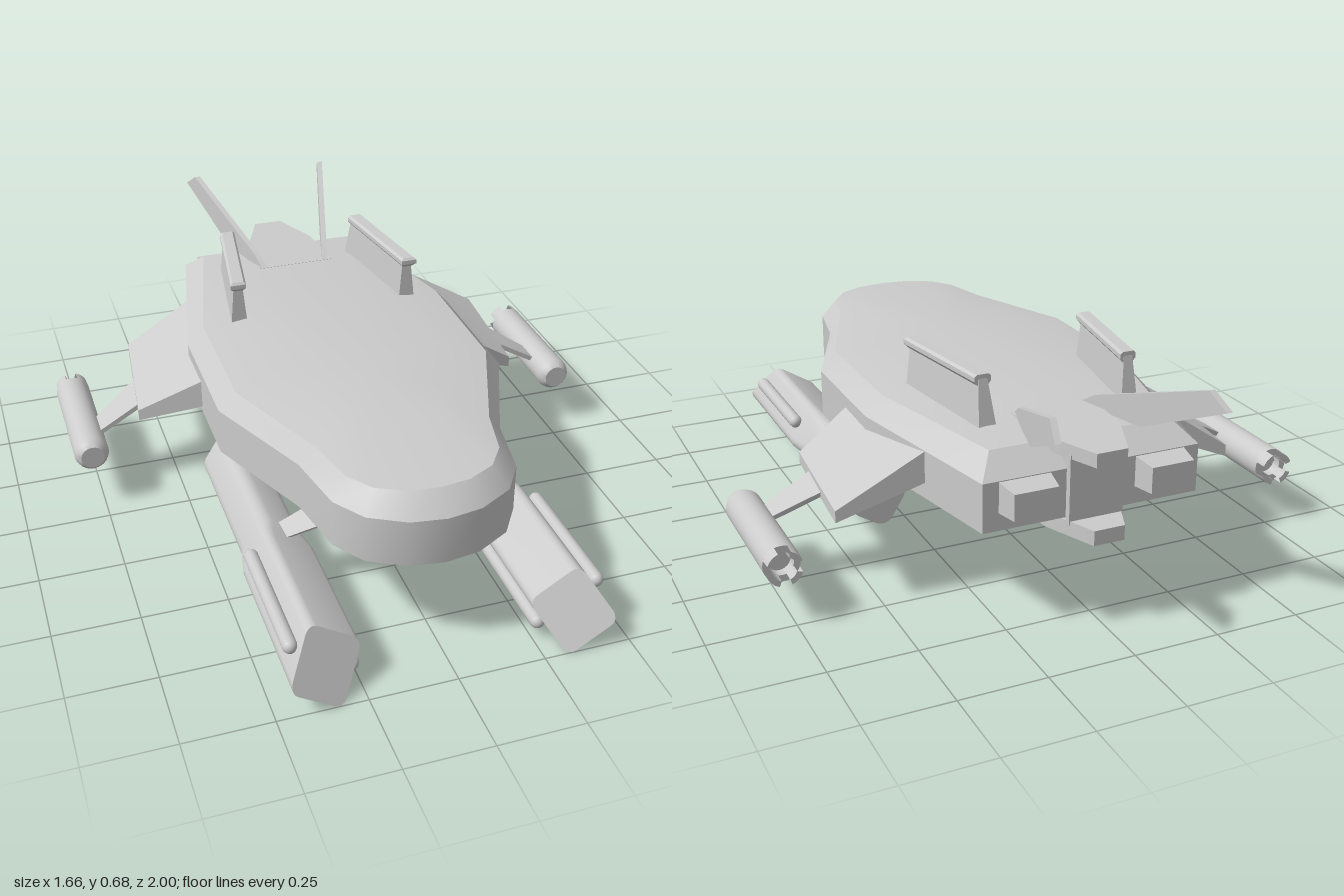
import * as THREE from 'three';
import { toCreasedNormals } from 'three/addons/utils/BufferGeometryUtils.js';

const material = new THREE.MeshStandardMaterial({ color: 0xcccccc });
const doubleSided = new THREE.MeshStandardMaterial({ color: 0xcccccc, side: THREE.DoubleSide });

function add(parent, name, geometry, mat = material) {
  const mesh = new THREE.Mesh(geometry, mat);
  mesh.name = name;
  parent.add(mesh);
  return mesh;
}

// Closed solid skinned over rings of [x, y, z] points; faces are turned outward by signed volume.
function loft(rings, crease = 0.5) {
  const n = rings[0].length;
  const triangles = [];
  const cap = (ring, flip) => {
    const c = [0, 1, 2].map(k => ring.reduce((sum, p) => sum + p[k], 0) / n);
    ring.forEach((p, i) => {
      const q = ring[(i + 1) % n];
      triangles.push(flip ? [c, q, p] : [c, p, q]);
    });
  };
  cap(rings[0], true);
  for (let r = 0; r < rings.length - 1; r++) {
    for (let i = 0; i < n; i++) {
      const j = (i + 1) % n;
      const [a, b, c, d] = [rings[r][i], rings[r][j], rings[r + 1][j], rings[r + 1][i]];
      triangles.push([a, b, c], [a, c, d]);
    }
  }
  cap(rings[rings.length - 1], false);
  const v = p => new THREE.Vector3(...p);
  const volume = triangles.reduce((s, [a, b, c]) => s + v(a).dot(v(b).cross(v(c))), 0);
  if (volume < 0) triangles.forEach(t => t.reverse());
  const geometry = new THREE.BufferGeometry();
  geometry.setAttribute('position', new THREE.Float32BufferAttribute(triangles.flat(2), 3));
  geometry.computeVertexNormals();
  return toCreasedNormals(geometry, crease);
}

// Full plan outline from half of it, given front to back.
const mirrorOutline = half => [...half, ...half.filter(p => p[0] > 0).reverse().map(([x, z]) => [-x, z])];

// Rectangle in plan at height y.
const rect = (x0, x1, z0, z1, y) => [[x0, y, z0], [x1, y, z0], [x1, y, z1], [x0, y, z1]];

function addHull(group) {
  const outer = mirrorOutline([[0, 0.88], [0.1, 0.865], [0.2, 0.81], [0.26, 0.72], [0.295, 0.53], [0.435, 0.2], [0.435, -0.2], [0.32, -0.75]]);
  const inner = mirrorOutline([[0, 0.82], [0.085, 0.81], [0.165, 0.77], [0.215, 0.7], [0.25, 0.55], [0.385, 0.21], [0.385, -0.2], [0.27, -0.68]]);
  const level = (outline, y, k = 1) => outline.map(([x, z]) => [x * k, y, 0.05 + (z - 0.05) * k]);
  add(group, 'hull', loft([
    level(inner, 0.245, 0.65), level(inner, 0.258), level(outer, 0.295),
    level(outer, 0.435), level(inner, 0.493), level(inner, 0.513, 0.65),
  ]));

  // Tail: overhanging upper and lower plates with a recessed core
  const plate = [[0.125, -0.5], [0.11, -0.69], [0.045, -0.845], [-0.045, -0.845], [-0.11, -0.69], [-0.125, -0.5]];
  const atHeight = y => plate.map(([x, z]) => [x, y, z]);
  add(group, 'upperTailPlate', loft([atHeight(0.468), atHeight(0.508)]));
  add(group, 'lowerTailPlate', loft([atHeight(0.247), atHeight(0.29)]));
  const core = new THREE.BoxGeometry(0.16, 0.2, 0.2);
  core.translate(0, 0.38, -0.67);
  add(group, 'tailCore', core);
}

// Tapered engine blocks at the stern
function addEngine(group, s) {
  const ring = (w, y0, y1, z) => [[-w, y0], [w, y0], [w, y1], [-w, y1]].map(([x, y]) => [s * (0.2 + x), y, z]);
  add(group, 'sternEngine', loft([ring(0.085, 0.34, 0.44, -0.68), ring(0.063, 0.35, 0.425, -0.82)]));
}

// Upright fin with a rail on top, toed in toward the stern
function addDorsalFin(group, s) {
  const slab = (zf, zb, half, y) => {
    const x = z => 0.275 + (z + 0.17) * 0.154;
    return [[x(zf) - half, y, zf], [x(zf) + half, y, zf], [x(zb) + half, y, zb], [x(zb) - half, y, zb]]
      .map(p => [s * p[0], p[1], p[2]]);
  };
  add(group, 'dorsalFin', loft([slab(-0.175, -0.555, 0.026, 0.49), slab(-0.18, -0.53, 0.013, 0.63)]));
  add(group, 'dorsalFinRail', loft([
    slab(-0.175, -0.53, 0.014, 0.61), slab(-0.163, -0.53, 0.024, 0.622),
    slab(-0.163, -0.53, 0.024, 0.635), slab(-0.17, -0.53, 0.017, 0.642),
  ]));
}

// Swept blade rising past the stern
function addTailBlade(group, s) {
  const profile = [[-0.49, 0.5], [-0.55, 0.538], [-0.94, 0.672], [-1, 0.63], [-0.72, 0.5]];
  const side = t => profile.map(([z, y]) => [s * (0.1 - (z + 0.49) * 0.272 + t), y, z]);
  add(group, 'tailBlade', loft([side(-0.009), side(0.009)]));
}

// Drooping wing, strut and outer pod
function addWing(group, s) {
  const [rear, front] = s > 0 ? [[0.62, -0.465], [0.59, -0.05]] : [[0.575, -0.515], [0.62, -0.1]];
  add(group, 'wing', loft([
    [[s * 0.36, 0.345, -0.495], [s * 0.36, 0.44, -0.495], [s * 0.41, 0.415, -0.02], [s * 0.41, 0.32, -0.02]],
    [[s * rear[0], 0.257, rear[1]], [s * rear[0], 0.292, rear[1]], [s * front[0], 0.292, front[1]], [s * front[0], 0.257, front[1]]],
  ]));
  const quad = (x, y, z0, z1) => rect(s * x - 0.006, s * x + 0.006, z0, z1, y)
    .map((p, i) => [p[0], p[1] + ((i === 1 || i === 2) === s > 0 ? 0.005 : -0.005), p[2]]);
  add(group, 'podStrut', loft([quad(0.585, 0.28, -0.31, -0.165), quad(0.745, 0.187, -0.24, -0.165)]));

  const pod = new THREE.Group();
  pod.name = 'outerPod';
  pod.position.set(s * 0.775, 0.172, 0);
  group.add(pod);
  const lathe = (points, ...phi) => toCreasedNormals(
    new THREE.LatheGeometry(points.map(p => new THREE.Vector2(...p)), ...phi).rotateX(Math.PI / 2), 0.5);
  add(pod, 'podBody', lathe([[0, -0.44], [0.034, -0.44], [0.034, -0.47], [0.053, -0.47], [0.053, -0.095], [0.048, -0.08], [0.036, -0.067], [0, -0.067]], 24));
  // Prongs around the rear opening
  for (let i = 0; i < 4; i++) {
    add(pod, 'podProng', lathe([[0.034, -0.465], [0.034, -0.505], [0.051, -0.505], [0.053, -0.465]], 6, i * Math.PI / 2 + 0.35, 0.87), doubleSided);
  }
}

// Lower nacelle: rolled, rounded box section with a slanted nose
function addNacelle(group, s) {
  const U = [0.85, 0.53];
  const place = (u, v, z) => [s * (0.35 + U[0] * u - U[1] * v), 0.096 + U[1] * u + U[0] * v, z];
  const section = (hw, hh, r, z, slant = 0) => {
    const points = [];
    for (let c = 0; c < 4; c++) {
      const cu = (c === 0 || c === 3 ? 1 : -1) * (hw - r);
      const cv = (c < 2 ? 1 : -1) * (hh - r);
      for (let k = 0; k <= 4; k++) {
        const a = (c + k / 4) * Math.PI / 2;
        const v = cv + r * Math.sin(a);
        points.push(place(cu + r * Math.cos(a), v, z - slant * v / hh));
      }
    }
    return points;
  };
  add(group, 'nacelle', loft([
    section(0.072, 0.073, 0.038, -0.055), section(0.072, 0.073, 0.038, 0.41),
    section(0.085, 0.077, 0.026, 0.5), section(0.085, 0.077, 0.026, 0.95, 0.05),
  ]));
  // Rods along both flanks
  for (const side of [-1, 1]) {
    const rod = new THREE.CapsuleGeometry(0.021, 0.385, 4, 12).rotateX(Math.PI / 2);
    rod.translate(...place(side * 0.098, 0, 0.71));
    add(group, 'nacelleRod', rod);
  }
  // Thin raked strut up to the hull
  add(group, 'nacelleStrut', loft([
    rect(s * 0.155, s * 0.185, 0.45, 0.57, 0.262),
    rect(s * 0.315, s * 0.34, 0.41, 0.48, 0.155),
  ]));
}

export function createModel() {
  const model = new THREE.Group();
  model.name = 'shuttle';
  addHull(model);
  for (const s of [1, -1]) {
    const half = new THREE.Group();
    half.name = s > 0 ? 'leftSide' : 'rightSide';
    model.add(half);
    for (const build of [addEngine, addDorsalFin, addTailBlade, addWing, addNacelle]) build(half, s);
  }
  return model;
}
